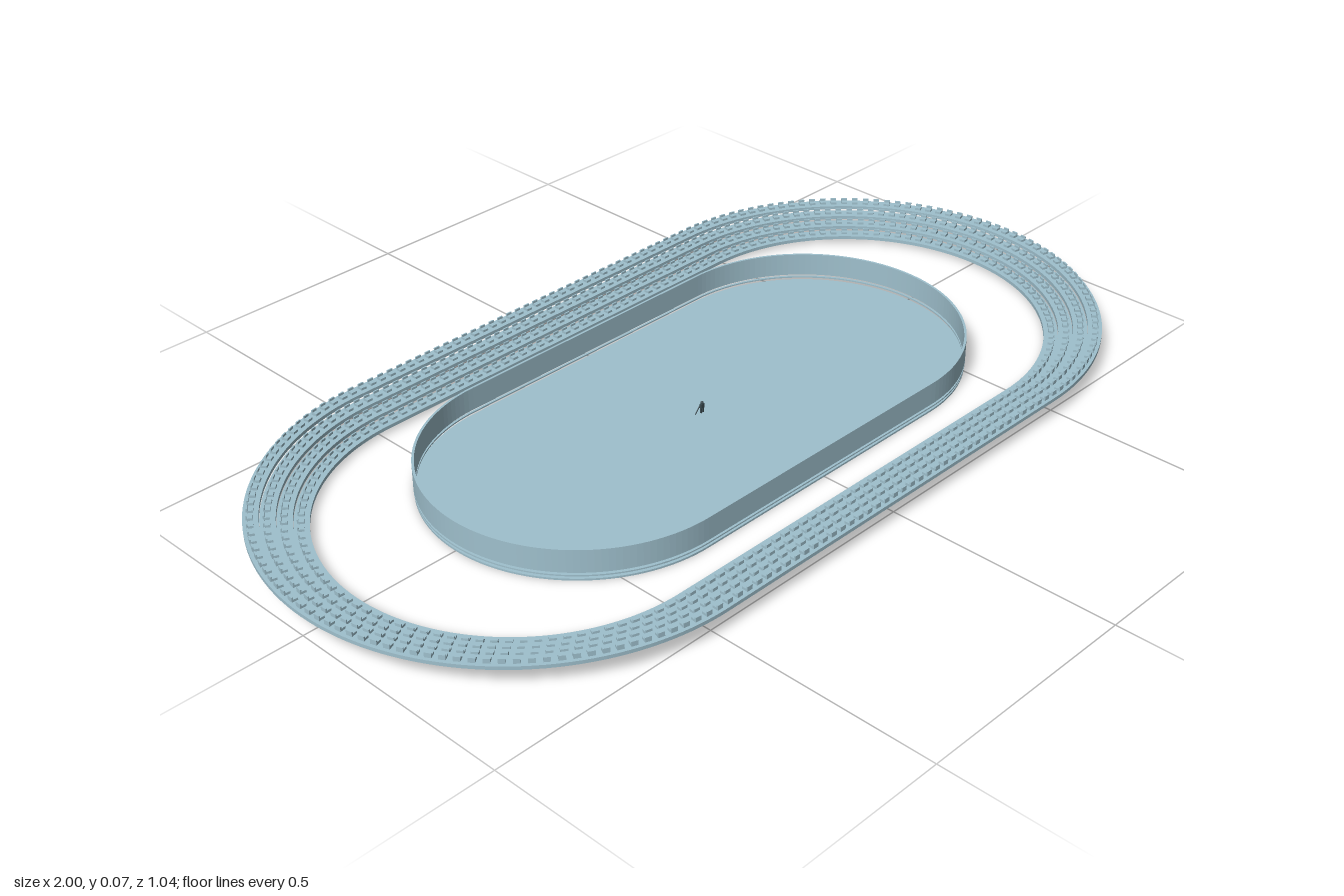
import * as THREE from 'three';
import { mergeGeometries } from 'three/addons/utils/BufferGeometryUtils.js';

// Oval outline: two straights of half length a joined by half circles of radius r
function oval(Type, a, r) {
  const p = new Type();
  p.moveTo(-a, -r);
  p.lineTo(a, -r);
  p.absarc(a, 0, r, -Math.PI / 2, Math.PI / 2, false);
  p.lineTo(-a, r);
  p.absarc(-a, 0, r, Math.PI / 2, Math.PI * 1.5, false);
  return p;
}

// Flat oval slab, or a ring when an inner radius is given
function slab(a, outer, inner, y0, y1) {
  const shape = oval(THREE.Shape, a, outer);
  if (inner) shape.holes.push(oval(THREE.Path, a, inner));
  const g = new THREE.ExtrudeGeometry(shape, { depth: y1 - y0, bevelEnabled: false, curveSegments: 40 });
  return g.rotateX(-Math.PI / 2).translate(0, y0, 0);
}

// Point and outward angle at distance s along an oval
function along(s, a, r) {
  const straight = 2 * a, arc = Math.PI * r;
  if (s < straight) return [-a + s, r, 0];
  s -= straight;
  if (s < arc) { const t = s / r; return [a + r * Math.sin(t), r * Math.cos(t), t]; }
  s -= arc;
  if (s < straight) return [a - s, -r, Math.PI];
  const t = Math.PI + (s - straight) / r;
  return [-a + r * Math.sin(t), r * Math.cos(t), t];
}

export function createModel() {
  const model = new THREE.Group();
  const paleBlue = new THREE.MeshStandardMaterial({ color: 0x9fc0cd });
  const darkSlate = new THREE.MeshStandardMaterial({ color: 0x3a4a50 });
  const add = (parent, name, geometry, material = paleBlue) => {
    const mesh = new THREE.Mesh(geometry, material);
    mesh.name = name;
    parent.add(mesh);
  };

  // Rink floor, thin rail and the floating boards around it
  const rinkA = 0.325;
  add(model, 'rinkFloor', slab(rinkA, 0.328, 0, 0, 0.004));
  add(model, 'lowerRail', slab(rinkA, 0.329, 0.324, 0.01, 0.013));
  add(model, 'boards', slab(rinkA, 0.329, 0.324, 0.018, 0.068));

  // One seat: cushion and backrest, with its back towards +z
  const seat = mergeGeometries([
    new THREE.BoxGeometry(0.013, 0.005, 0.012).translate(0, 0.0025, 0),
    new THREE.BoxGeometry(0.013, 0.01, 0.003).translate(0, 0.005, 0.0055),
  ]);

  // Four stepped rows of seating
  const standA = 0.478;
  for (let i = 0; i < 4; i++) {
    const row = new THREE.Group();
    row.name = 'standRow' + (i + 1);
    const inner = 0.402 + i * 0.03, y = 0.009 + i * 0.0108, top = y + 0.0075;
    add(row, 'step', slab(standA, inner + 0.03, inner, y, top));

    const r = inner + 0.016;
    const length = 4 * standA + 2 * Math.PI * r;
    const count = Math.round(length / 0.025);
    const seats = [];
    for (let k = 0; k < count; k++) {
      const [x, z, angle] = along(((k + 0.5) * length) / count, standA, r);
      seats.push(seat.clone().rotateY(angle).translate(x, top, z));
    }
    add(row, 'seats', mergeGeometries(seats));
    model.add(row);
  }

  // Tiny skater with a stick at the centre spot
  const skater = new THREE.Group();
  skater.name = 'skater';
  for (const s of [-1, 1]) {
    add(skater, 'leg', new THREE.BoxGeometry(0.003, 0.012, 0.003).translate(s * 0.0025, 0.01, 0), darkSlate);
  }
  add(skater, 'body', new THREE.BoxGeometry(0.009, 0.01, 0.005).translate(0, 0.02, 0), darkSlate);
  add(skater, 'head', new THREE.SphereGeometry(0.003, 10, 8).translate(0, 0.028, 0), darkSlate);
  add(skater, 'stick', new THREE.BoxGeometry(0.0015, 0.02, 0.0015).rotateZ(-0.7).translate(-0.01, 0.012, -0.003), darkSlate);
  model.add(skater);

  return model;
}
